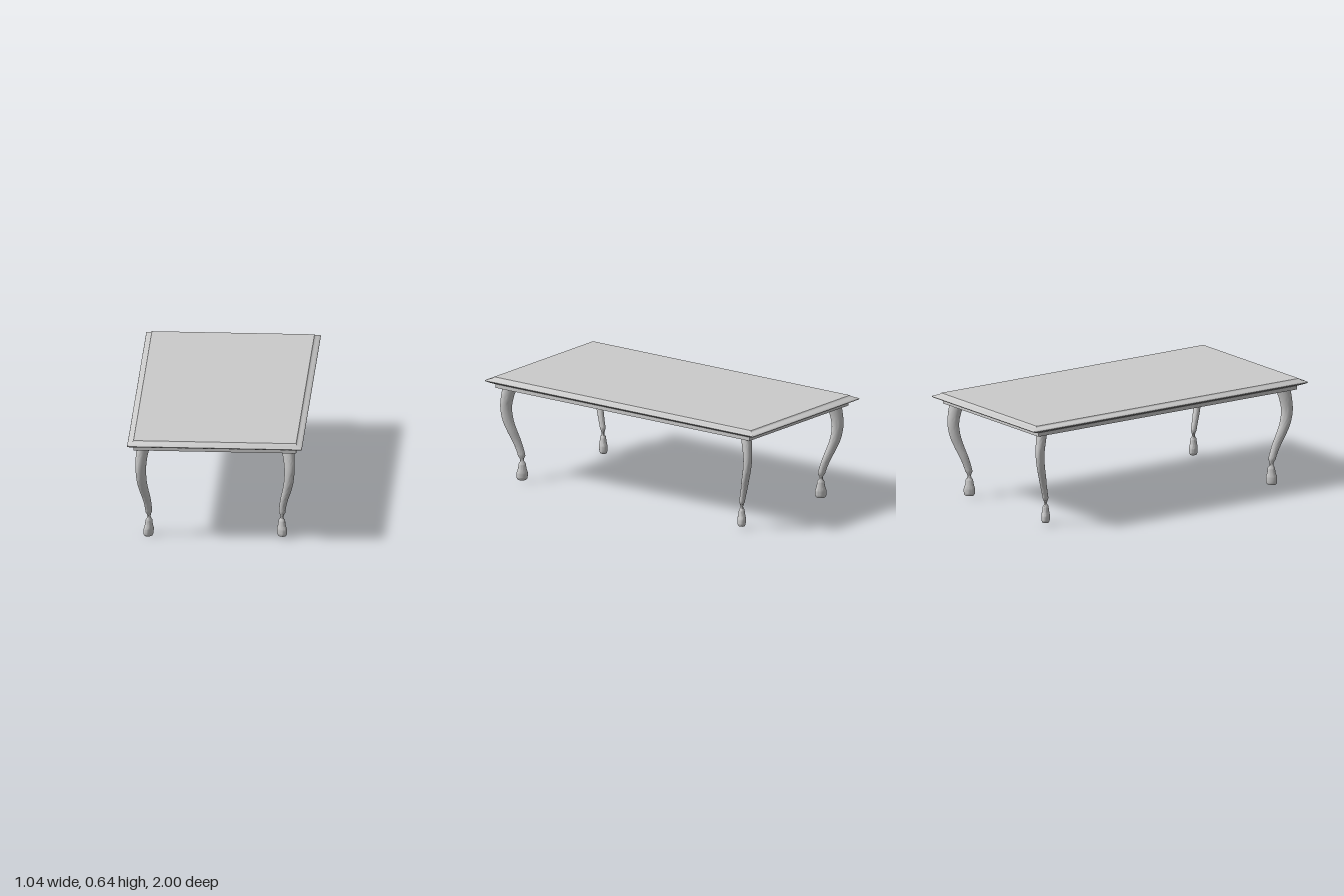
import * as THREE from 'three';
import { toCreasedNormals } from 'three/addons/utils/BufferGeometryUtils.js';

const material = new THREE.MeshStandardMaterial({ color: 0xcccccc });

// Skin a stack of closed rings, listed bottom to top, each counter-clockwise seen from above
function loft(rings, crease) {
  const n = rings[0].length;
  const index = [];
  for (let i = 0; i < rings.length - 1; i++) {
    for (let j = 0; j < n; j++) {
      const a = i * n + j, b = i * n + (j + 1) % n;
      index.push(a, b, b + n, a, b + n, a + n);
    }
  }
  const geometry = new THREE.BufferGeometry().setFromPoints(rings.flat());
  geometry.setIndex(index);
  return toCreasedNormals(geometry, crease);
}

// Moulded table top: half width, half depth, height
function createTop() {
  const profile = [
    [0, 0, 0.578], [0.482, 0.945, 0.578], [0.482, 0.945, 0.601],
    [0.49, 0.962, 0.604], [0.503, 0.982, 0.61], [0.514, 0.996, 0.616], [0.518, 1, 0.621],
    [0.514, 0.995, 0.626], [0.499, 0.975, 0.632], [0.487, 0.963, 0.638],
    [0.482, 0.957, 0.644], [0, 0, 0.645],
  ];
  const rings = profile.map(([x, z, y]) =>
    [[1, 1], [1, -1], [-1, -1], [-1, 1]].map(([sx, sz]) => new THREE.Vector3(sx * x, y, sz * z)));
  const top = new THREE.Mesh(loft(rings, 0.65), material);
  top.name = 'tableTop';
  return top;
}

// Curved leg: height, centre x, centre z, radius along and across the diagonal
const legStations = [
  [0, 0.397, 0.818, 0.026, 0.02],
  [0.012, 0.397, 0.818, 0.033, 0.024],
  [0.04, 0.396, 0.818, 0.034, 0.025],
  [0.068, 0.395, 0.818, 0.026, 0.021],
  [0.1, 0.395, 0.818, 0.022, 0.017],
  [0.15, 0.396, 0.821, 0.022, 0.017],
  [0.2, 0.401, 0.834, 0.024, 0.018],
  [0.25, 0.41, 0.85, 0.027, 0.02],
  [0.3, 0.423, 0.867, 0.03, 0.022],
  [0.37, 0.436, 0.889, 0.033, 0.024],
  [0.45, 0.441, 0.9, 0.035, 0.026],
  [0.52, 0.437, 0.893, 0.039, 0.029],
  [0.59, 0.426, 0.878, 0.046, 0.032],
];

function createLeg(sx, sz, footShift, footHeight) {
  const centres = new THREE.CatmullRomCurve3(legStations.map(([y, x, z]) => {
    const t = 1 - y / 0.59;
    return new THREE.Vector3(sx * (x + footShift * t), y + footHeight * t, sz * z);
  }));
  const radii = new THREE.CatmullRomCurve3(legStations.map(s => new THREE.Vector3(s[3], s[4], 0)));
  const steps = (legStations.length - 1) * 4, sides = 24;
  const along = new THREE.Vector3(sx, 0, sz).normalize();
  const across = new THREE.Vector3(along.z, 0, -along.x);
  const ring = (t, scale) => {
    const c = centres.getPoint(t), r = radii.getPoint(t);
    return Array.from({ length: sides }, (_, j) => {
      const a = j / sides * Math.PI * 2;
      return c.clone()
        .addScaledVector(along, Math.cos(a) * r.x * scale)
        .addScaledVector(across, Math.sin(a) * r.y * scale);
    });
  };
  const rings = [ring(0, 0)];
  for (let i = 0; i <= steps; i++) rings.push(ring(i / steps, 1));
  rings.push(ring(1, 0));
  return new THREE.Mesh(loft(rings, 0.9), material);
}

export function createModel() {
  const table = new THREE.Group();
  table.name = 'table';
  table.add(createTop());

  // Legs differ slightly in foot position and length
  const legs = [
    ['frontLeftLeg', 1, 1, -0.006, 0.015],
    ['frontRightLeg', -1, 1, 0.004, 0],
    ['backLeftLeg', 1, -1, -0.006, 0.015],
    ['backRightLeg', -1, -1, -0.017, 0.015],
  ];
  for (const [name, ...shape] of legs) {
    const leg = createLeg(...shape);
    leg.name = name;
    table.add(leg);
  }
  return table;
}
